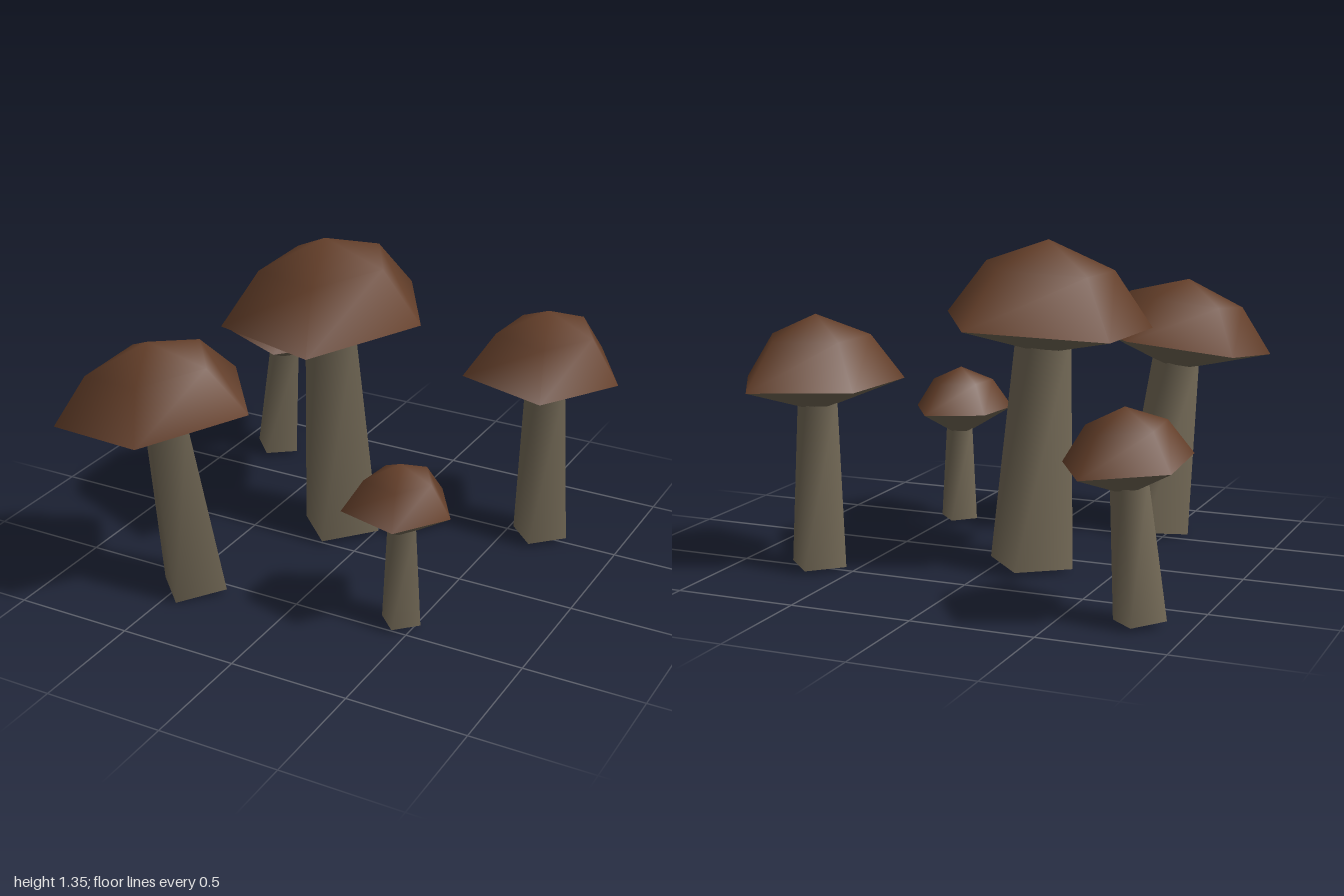
import * as THREE from 'three';
import { mergeVertices } from 'three/addons/utils/BufferGeometryUtils.js';

const material = (name, color, side = THREE.FrontSide) => {
  const m = new THREE.MeshStandardMaterial({ color, side });
  m.name = name;
  return m;
};

// base/top: stem axis ends; r0/r1: stem radii; rim: cap corners [x, z] from +x
// counter-clockwise; rimY and slope [dy/dx, dy/dz]: rim plane; apex: cap tip; depth: gills
const MUSHROOMS = [
  { name: 'tallMushroom', base: [-0.15, 0.022, -0.165], top: [-0.192, 0.96, -0.145], r0: 0.181, r1: 0.12,
    rim: [[0.23, -0.145], [-0.045, -0.615], [-0.57, -0.415], [-0.565, 0.12], [-0.04, 0.33]],
    rimY: 1.012, slope: [0.07, -0.02], apex: [-0.21, 1.35, -0.135], depth: 0.09 },
  { name: 'leaningMushroom', base: [-0.44, 0.017, 0.572], top: [-0.502, 0.78, 0.648], r0: 0.153, r1: 0.105,
    rim: [[-0.11, 0.65], [-0.4, 0.275], [-0.82, 0.425], [-0.86, 0.895], [-0.405, 0.995]],
    rimY: 0.841, slope: [0.12, -0.097], apex: [-0.545, 1.12, 0.68], depth: 0.09 },
  { name: 'straightMushroom', base: [0.65, 0.02, -0.505], top: [0.64, 0.72, -0.512], r0: 0.124, r1: 0.09,
    rim: [[0.96, -0.515], [0.755, -0.87], [0.375, -0.705], [0.35, -0.305], [0.75, -0.18]],
    rimY: 0.782, slope: [0, 0], apex: [0.64, 1.055, -0.515], depth: 0.092 },
  { name: 'backMushroom', base: [-0.805, 0.02, -0.72], top: [-0.758, 0.55, -0.723], r0: 0.105, r1: 0.075,
    rim: [[-0.5, -0.73], [-0.66, -1], [-0.97, -0.89], [-0.96, -0.58], [-0.66, -0.455]],
    rimY: 0.612, slope: [-0.07, 0.05], apex: [-0.745, 0.82, -0.74], depth: 0.092 },
  { name: 'smallMushroom', base: [0.445, 0.018, 0.433], top: [0.44, 0.45, 0.428], r0: 0.086, r1: 0.062,
    rim: [[0.645, 0.42], [0.505, 0.2], [0.265, 0.305], [0.24, 0.56], [0.5, 0.63]],
    rimY: 0.52, slope: [0, 0], apex: [0.43, 0.71, 0.425], depth: 0.095 },
];

// Smooth skin over equal-sized loops, listed from the lowest to the highest
function loft(loops) {
  const n = loops[0].length;
  const index = [];
  for (let j = 0; j < loops.length - 1; j++) {
    for (let i = 0; i < n; i++) {
      const a = j * n + i, b = j * n + (i + 1) % n;
      index.push(a, b, b + n, a, b + n, a + n);
    }
  }
  const loose = new THREE.BufferGeometry().setFromPoints(loops.flat());
  loose.setIndex(index);
  const geometry = mergeVertices(loose);
  geometry.computeVertexNormals();
  return geometry;
}

function part(name, geometry, mat) {
  const mesh = new THREE.Mesh(geometry, mat);
  mesh.name = name;
  return mesh;
}

// Four-sided open tapered stem, shaded smoothly except at the +x edge
function createStem(m, mat) {
  const base = new THREE.Vector3(...m.base);
  const axis = new THREE.Vector3(...m.top).sub(base);
  const geometry = new THREE.CylinderGeometry(m.r1, m.r0, axis.length(), 4, 1, true, Math.PI / 2);
  geometry.computeVertexNormals();
  const stem = part('stem', geometry, mat);
  stem.position.copy(base).addScaledVector(axis, 0.5);
  stem.quaternion.setFromUnitVectors(new THREE.Vector3(0, 1, 0), axis.normalize());
  return stem;
}

// Tilted five-sided cap: domed top and shallow gill cone below
function createCap(m, topMat, gillMat) {
  const centre = new THREE.Vector3(0, m.rimY, 0);
  for (const [x, z] of m.rim) centre.add(new THREE.Vector3(x / 5, 0, z / 5));
  const axis = new THREE.Vector3(...m.apex).sub(centre);
  const gillDrop = -m.depth / axis.length();

  // Rim scaled by k and moved t of the way towards the apex
  const loop = (k, t) => m.rim.map(([x, z]) => {
    const dx = x - centre.x, dz = z - centre.z;
    return new THREE.Vector3(dx, m.slope[0] * dx + m.slope[1] * dz, dz)
      .multiplyScalar(k).add(centre).addScaledVector(axis, t);
  });

  const cap = new THREE.Group();
  cap.name = 'cap';
  cap.add(
    part('capTop', loft([loop(1, 0), loop(0.62, 0.67), loop(0, 1)]), topMat),
    part('gills', loft([loop(0, gillDrop), loop(0.24, gillDrop), loop(1, 0)]), gillMat),
  );
  return cap;
}

export function createModel() {
  const model = new THREE.Group();
  model.name = 'mushroomCluster';

  const capBrown = material('cap brown', 0x643f2a);
  const stemGrey = material('stem grey', 0x746a57, THREE.DoubleSide);

  for (const m of MUSHROOMS) {
    const mushroom = new THREE.Group();
    mushroom.name = m.name;
    mushroom.add(createStem(m, stemGrey), createCap(m, capBrown, stemGrey));
    model.add(mushroom);
  }
  return model;
}
